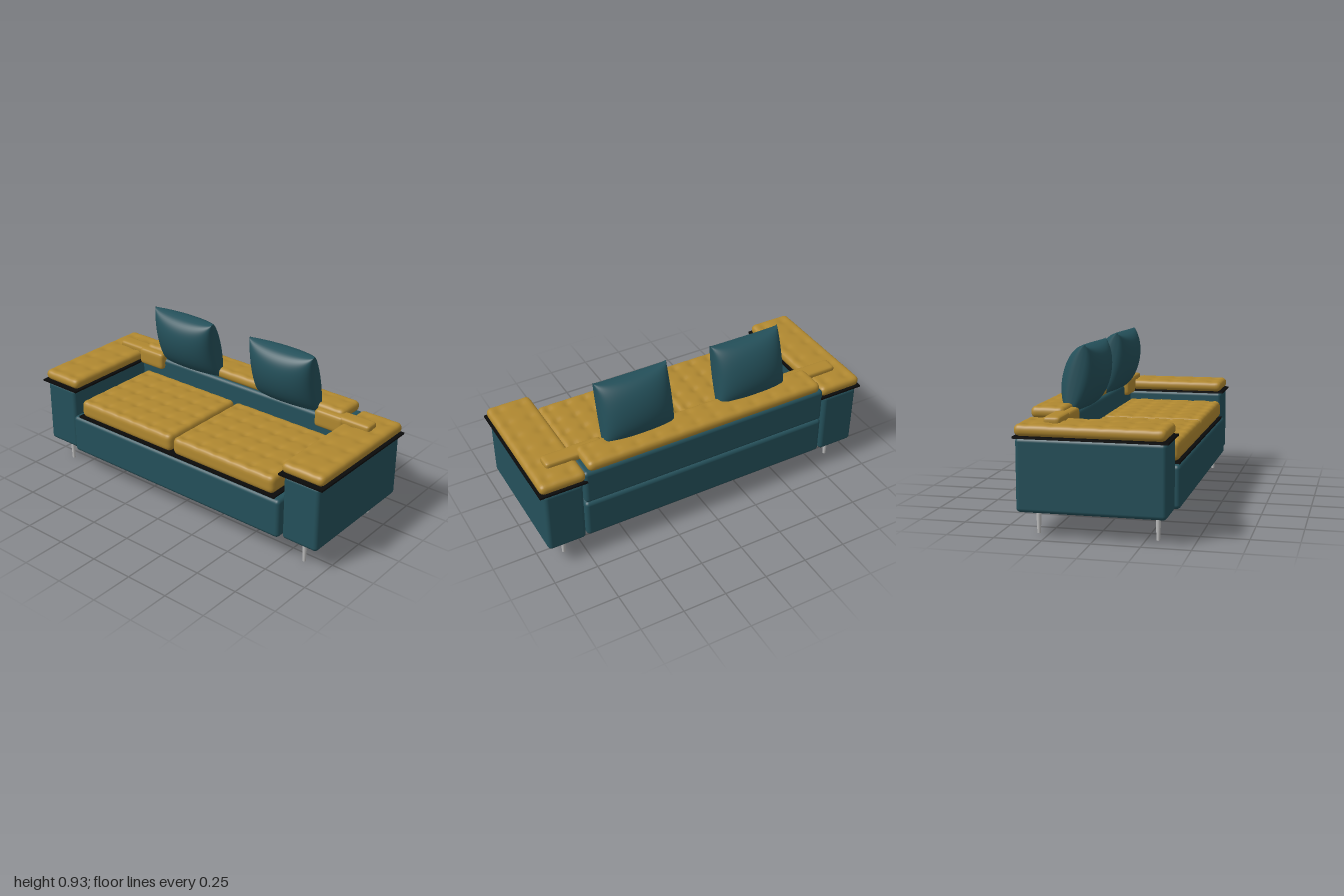
import * as THREE from 'three';
import { mergeVertices } from 'three/addons/utils/BufferGeometryUtils.js';
import { RoundedBoxGeometry } from 'three/addons/geometries/RoundedBoxGeometry.js';

const teal = new THREE.MeshStandardMaterial({ color: 0x24505a });
const gold = new THREE.MeshStandardMaterial({ color: 0xb08830 });
const black = new THREE.MeshStandardMaterial({ color: 0x0a0a0a });
const metal = new THREE.MeshStandardMaterial({ color: 0xbdbdbd });

// Weld the faces and smooth them after the vertices were moved
function smooth(geo) {
  geo.deleteAttribute('uv');
  geo.deleteAttribute('normal');
  const welded = mergeVertices(geo, 1e-5);
  welded.computeVertexNormals();
  return welded;
}

// Soft cushion with rounded edges and nx by nz button dents on top
function cushionGeometry(w, h, d, r, nx = 0, nz = 0, depth = 0.012) {
  const geo = new THREE.BoxGeometry(w, h, d, Math.ceil(w / 0.013), 8, Math.ceil(d / 0.013));
  const pos = geo.attributes.position;
  const p = new THREE.Vector3(), inner = new THREE.Vector3();
  const lim = new THREE.Vector3(w / 2 - r, h / 2 - r, d / 2 - r);
  const low = lim.clone().negate();
  for (let i = 0; i < pos.count; i++) {
    p.fromBufferAttribute(pos, i);
    inner.copy(p).clamp(low, lim);
    p.sub(inner).setLength(r).add(inner);
    if (nx && p.y > 0) {
      // distance to the nearest button, in cells
      const fx = (p.x / w + 0.5) * nx, fz = (p.z / d + 0.5) * nz;
      const dx = fx - Math.floor(fx) - 0.5, dz = fz - Math.floor(fz) - 0.5;
      const dent = 0.7 * Math.exp(-(dx * dx + dz * dz) * 22)
        + 0.3 * Math.exp(-dx * dx * 50) * 0.5 + 0.3 * Math.exp(-dz * dz * 50) * 0.5;
      p.y -= depth * dent * Math.min(1, p.y / (h / 2));
    }
    pos.setXYZ(i, p.x, p.y, p.z);
  }
  return smooth(geo);
}

// Square throw pillow: thick centre, thin seams, pointed corners
function pillowGeometry(halfW, halfH, halfD) {
  const n = 36;
  const geo = new THREE.BoxGeometry(2, 2, 2, n, n, 1);
  const pos = geo.attributes.position;
  for (let i = 0; i < pos.count; i++) {
    const u = Math.sin(pos.getX(i) * Math.PI / 2), v = Math.sin(pos.getY(i) * Math.PI / 2);
    const a = Math.max(0, 1 - u * u), b = Math.max(0, 1 - v * v);
    const thick = halfD * Math.pow(a, 0.36) * Math.pow(b, 0.42) + 0.003;
    pos.setXYZ(i,
      halfW * u * (1 - 0.04 * Math.pow(b, 0.4)),
      halfH * v * (1 - 0.09 * Math.pow(a, 0.4)),
      Math.sign(pos.getZ(i)) * thick);
  }
  return smooth(geo);
}

export function createModel() {
  const model = new THREE.Group();
  const add = (name, geo, mat, x, y, z) => {
    const mesh = new THREE.Mesh(geo, mat);
    mesh.name = name;
    mesh.position.set(x, y, z);
    model.add(mesh);
    return mesh;
  };
  // Box given by its limits on each axis
  const block = (name, mat, [x0, x1], [y0, y1], [z0, z1], r) => add(name,
    r ? new RoundedBoxGeometry(x1 - x0, y1 - y0, z1 - z0, 4, r) : new THREE.BoxGeometry(x1 - x0, y1 - y0, z1 - z0),
    mat, (x0 + x1) / 2, (y0 + y1) / 2, (z0 + z1) / 2);
  const cushion = (name, [x0, x1], [y0, y1], [z0, z1], r, nx, nz, depth) => add(name,
    cushionGeometry(x1 - x0, y1 - y0, z1 - z0, r, nx, nz, depth),
    gold, (x0 + x1) / 2, (y0 + y1) / 2, (z0 + z1) / 2);
  const span = (s, a, b) => (s > 0 ? [a, b] : [-b, -a]);

  // Body
  block('base', teal, [-0.748, 0.748], [0.13, 0.357], [-0.39, 0.398], 0.022);
  block('backrest', teal, [-0.746, 0.746], [0.359, 0.565], [-0.39, -0.203], 0.022);
  block('seatPlate', black, [-0.71, 0.71], [0.354, 0.365], [-0.2, 0.386]);
  cushion('backCushion', [-0.72, 0.72], [0.56, 0.624], [-0.394, -0.21], 0.03, 12, 2, 0.008);

  for (const s of [1, -1]) {
    const side = s > 0 ? 'left' : 'right';

    // Arm with its thin plate and tufted pad
    block(side + 'Arm', teal, span(s, 0.755, 0.975), [0.128, 0.507], [-0.392, 0.374], 0.022);
    block(side + 'ArmPlate', black, span(s, 0.73, 1.0), [0.506, 0.516], [-0.396, 0.386]);
    cushion(side + 'ArmCushion', span(s, 0.733, 0.993), [0.515, 0.577], [-0.394, 0.374], 0.029, 2, 6, 0.01);

    // Bolster lying over the arm, its inner end hanging before the backrest
    cushion(side + 'BolsterStrap', span(s, 0.56, 0.905), [0.558, 0.605], [-0.267, -0.178], 0.018);
    cushion(side + 'BolsterEnd', span(s, 0.557, 0.742), [0.5, 0.604], [-0.25, -0.172], 0.02);

    // Seat cushion
    cushion(side + 'SeatCushion', span(s, 0.008, 0.695), [0.363, 0.468], [-0.2, 0.38], 0.03, 6, 5, 0.013);

    // Pillow leaning forward
    const pillow = add(side + 'Pillow', pillowGeometry(0.216, 0.186, 0.113), teal, s * 0.35, 0.745, -0.19);
    pillow.rotation.x = 0.26;

    // Tapered legs
    for (const z of [0.31, -0.306]) {
      add(side + (z > 0 ? 'FrontLeg' : 'BackLeg'),
        new THREE.CylinderGeometry(0.0145, 0.009, 0.132, 20), metal, s * 0.862, 0.066, z);
    }
  }
  return model;
}
